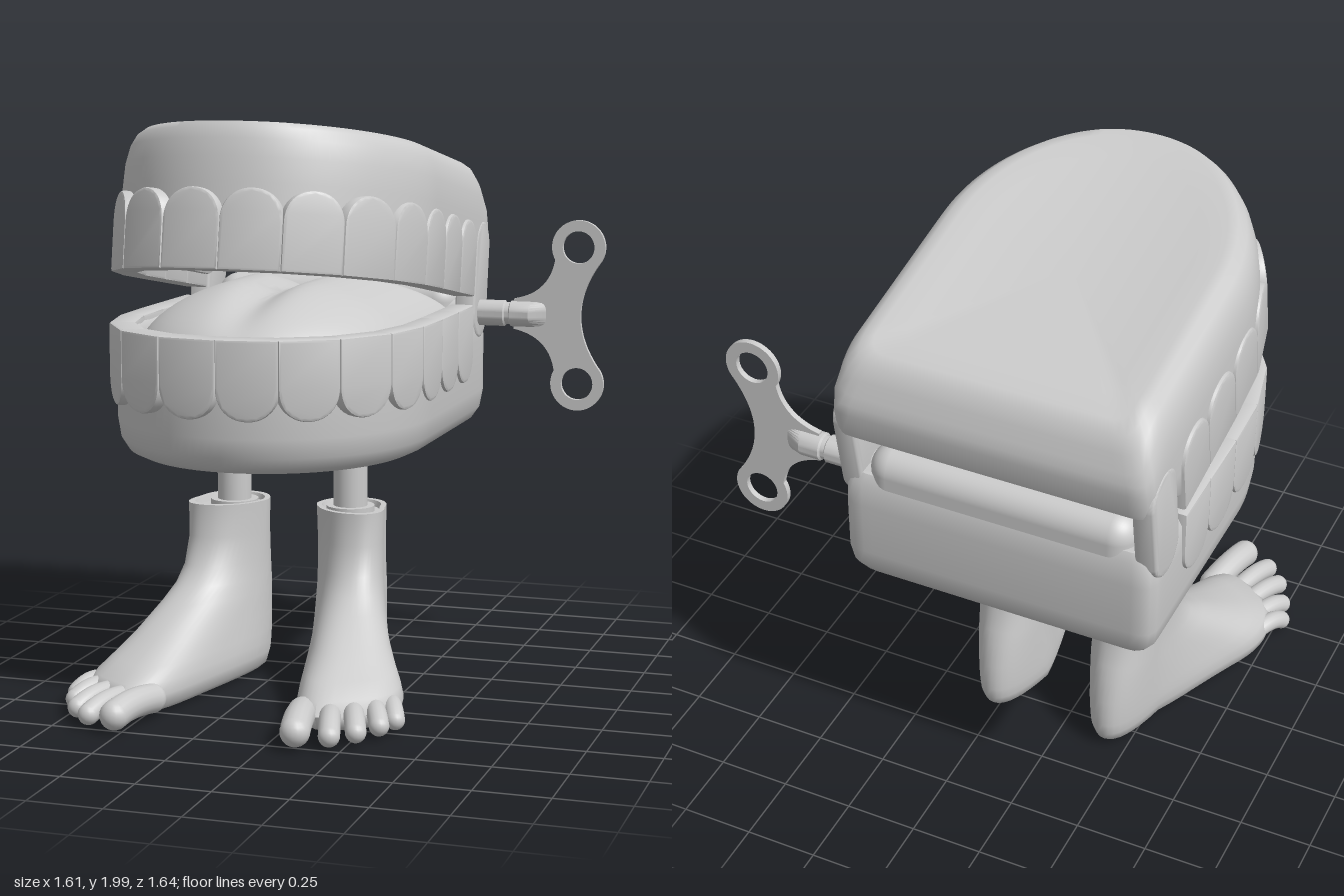
import * as THREE from 'three';
import { toCreasedNormals } from 'three/addons/utils/BufferGeometryUtils.js';
import { RoundedBoxGeometry } from 'three/addons/geometries/RoundedBoxGeometry.js';

const mat = new THREE.MeshStandardMaterial({ color: 0xcccccc });
const CX = -0.207, HINGE_Y = 1.27, HINGE_Z = -0.66;
const { clamp, lerp, smoothstep } = THREE.MathUtils;

function add(parent, name, geo, x = 0, y = 0, z = 0) {
  const m = new THREE.Mesh(geo, mat);
  m.name = name;
  m.position.set(x, y, z);
  parent.add(m);
  return m;
}

// Skin closed rings (each an array of [x, y, z]) from bottom to top
function loft(rings, crease = 0.9) {
  const n = rings[0].length, pos = rings.flat(2), idx = [];
  for (let i = 0; i < rings.length - 1; i++) {
    for (let j = 0; j < n; j++) {
      const k = (j + 1) % n, a = i * n + j, b = i * n + k, c = b + n, d = a + n;
      idx.push(a, b, c, a, c, d);
    }
  }
  const g = new THREE.BufferGeometry();
  g.setAttribute('position', new THREE.Float32BufferAttribute(pos, 3));
  g.setIndex(idx);
  return toCreasedNormals(g, crease);
}

// Horseshoe plan of the jaws: straight sides, square back, round front
function plan(inset) {
  const w = 0.546 - inset, f = 0.608 - inset, b = -0.772 + inset, r = 0.06, k = 0.56;
  const s = new THREE.Shape();
  s.moveTo(0, f);
  s.bezierCurveTo(w * k, f, w, f * k, w, 0);
  s.lineTo(w, b + r);
  s.quadraticCurveTo(w, b, w - r, b);
  s.lineTo(r - w, b);
  s.quadraticCurveTo(-w, b, -w, b + r);
  s.lineTo(-w, 0);
  s.bezierCurveTo(-w, f * k, -w * k, f, 0, f);
  return s.getSpacedPoints(140).slice(0, 140);
}

// Gum rows are [inset, height]; an inset of null closes to a centre point.
// shape(v, z, inset) may bend a point and returns its new [v, z].
function gum(rows, shape = (v, z) => [v, z]) {
  return loft(rows.map(([inset, v]) => plan(inset ?? 0.2).map((p) => {
    if (inset === null) return [0, v, -0.1];
    return [p.x, ...shape(v, p.y, inset)];
  })));
}

// Upper gum: lifted along the bottom of the back, rounded off at the top of the back, upright in front
function upperShape(v, z, inset) {
  const low = clamp((-0.54 - z) / 0.12, 0, 1), high = clamp((-0.58 - z) / 0.17, 0, 1);
  const lifted = v + low * 0.8 * Math.max(0, 0.25 - v);
  const dropped = lifted - 0.1 * high * high * clamp((v - 0.3) / 0.2, 0, 1);
  return [dropped, v > 0.3 ? z + 0.65 * Math.min(inset, 0.08) * clamp(z / 0.5, 0, 1) : z];
}

// Arch of flat teeth; dir = 1 points the rounded root upward, -1 downward
function teeth(parent, name, base, dir) {
  const half = [[0, 0.635], [0.205, 0.605], [0.378, 0.495], [0.495, 0.31], [0.543, 0.1],
    [0.55, -0.11], [0.55, -0.33], [0.55, -0.535]];
  const pts = [...half.slice(1).reverse().map(([x, z]) => [-x, z]), ...half];
  const row = new THREE.Group();
  row.name = name;
  parent.add(row);
  for (let i = 0; i < pts.length - 1; i++) {
    const [ax, az] = pts[i], [bx, bz] = pts[i + 1];
    const w = Math.hypot(bx - ax, bz - az) / 2 - 0.009, s = new THREE.Shape();
    s.moveTo(-w, 0.01 * dir);
    s.lineTo(w, 0.01 * dir);
    s.lineTo(w, 0.16 * dir);
    s.bezierCurveTo(w, 0.22 * dir, w * 0.6, 0.258 * dir, 0, 0.258 * dir);
    s.bezierCurveTo(-w * 0.6, 0.258 * dir, -w, 0.22 * dir, -w, 0.16 * dir);
    const g = new THREE.ExtrudeGeometry(s, { depth: 0.07, bevelSize: 0.01, bevelThickness: 0.01, bevelSegments: 2, curveSegments: 10 });
    g.translate(0, 0, -0.072);
    const t = add(row, 'tooth', toCreasedNormals(g, 0.6), (ax + bx) / 2, base, (az + bz) / 2);
    t.rotation.y = Math.atan2(az - bz, bx - ax);
  }
}

// Domed tongue with a groove down the middle
function tongue() {
  const edge = plan(0.085), rings = [];
  for (let i = 0; i <= 16; i++) {
    const r = Math.cos(i / 16 * Math.PI / 2);
    rings.push(edge.map((p) => {
      const x = p.x * r, z = -0.03 + (p.y + 0.03) * r, h = 1 - r * r;
      return [x, -0.03 + 0.21 * h ** 0.68 - 0.055 * h * Math.exp(-((x / 0.08) ** 2)), z];
    }));
  }
  return loft(rings, 1.2);
}

// Foot: level slices [height, heel z, front z, heel half width, front half width]
function foot(side) {
  const rows = [[0.012, -0.27, 0.46, 0.07, 0.13], [0.02, -0.315, 0.52, 0.095, 0.16], [0.04, -0.352, 0.56, 0.115, 0.18],
    [0.08, -0.37, 0.57, 0.125, 0.188], [0.12, -0.372, 0.53, 0.128, 0.178], [0.16, -0.37, 0.45, 0.128, 0.165],
    [0.22, -0.365, 0.34, 0.127, 0.145], [0.31, -0.345, 0.19, 0.126, 0.128], [0.36, -0.33, 0.115, 0.124, 0.122],
    [0.42, -0.31, 0.06, 0.122, 0.12], [0.52, -0.29, 0.025, 0.122, 0.12], [0.635, -0.28, 0.02, 0.125, 0.125]];
  const ring = ([y, back, front, wh, wf], scale = 1) => Array.from({ length: 48 }, (_, j) => {
    const a = side * j / 48 * Math.PI * 2, c = Math.cos(a), s = Math.sin(a);
    // Squarer across the toes than around the heel and ankle
    const e = c > 0 ? lerp(0.65, 0.9, smoothstep(y, 0.1, 0.4)) : 0.9;
    const sq = (v) => Math.sign(v) * Math.abs(v) ** e * scale;
    const z = (back + front) / 2 + (front - back) / 2 * sq(c);
    const off = lerp(wh, wf, (c * scale + 1) / 2) * sq(s);
    const shear = 0.7 * smoothstep(z, 0, 0.5);
    // The forefoot splays outward, the heel stays under the ankle
    return [side * (0.01 + 0.31 * Math.max(0, z + 0.14) + off), y, z - shear * off];
  });
  const last = rows.at(-1);
  return loft([ring(rows[0], 0), ...rows.map((r) => ring(r)), ring(last, 0.85),
    ring([0.615, ...last.slice(1)], 0.8), ring([0.615, ...last.slice(1)], 0)], 1.1);
}

// Toes: base x, z, tip x, z, radius (big toe first)
const TOES = [[0.06, 0.55, 0.105, 0.765, 0.05], [0.15, 0.53, 0.21, 0.735, 0.036], [0.21, 0.48, 0.278, 0.665, 0.035],
  [0.262, 0.42, 0.328, 0.57, 0.034], [0.305, 0.365, 0.358, 0.485, 0.033]];

function leg(parent, side) {
  const g = new THREE.Group();
  g.name = side > 0 ? 'leftLeg' : 'rightLeg';
  g.position.x = CX + side * 0.207;
  parent.add(g);
  add(g, 'foot', foot(side));
  add(g, 'legRod', new THREE.CylinderGeometry(0.06, 0.06, 0.3, 32), side * 0.01, 0.75, -0.14);
  add(g, 'rodCollar', new THREE.CylinderGeometry(0.085, 0.085, 0.03, 32), side * 0.01, 0.62, -0.14);
  for (const [bx, bz, tx, tz, r] of TOES) {
    // Toe bends: rises slightly over the knuckle, then drops to the pad
    const a = new THREE.Vector3(side * bx, 0.075, bz), b = new THREE.Vector3(side * tx, r + 0.022, tz);
    const path = new THREE.QuadraticBezierCurve3(a, a.clone().lerp(b, 0.6).setY(0.095), b);
    add(g, 'toe', new THREE.TubeGeometry(path, 10, r, 16));
    for (const p of [a, b]) add(g, 'toeEnd', new THREE.SphereGeometry(r, 18, 12), p.x, p.y, p.z);
  }
}

function key(parent) {
  const g = new THREE.Group();
  g.name = 'windUpKey';
  g.position.set(0, HINGE_Y, HINGE_Z);
  parent.add(g);
  // Grooved shaft whose end is pinched to a wedge
  const prof = [[0, 0.2], [0.047, 0.2], [0.047, 0.435], [0.04, 0.44], [0.04, 0.455], [0.047, 0.46], [0.047, 0.53], [0.047, 0.59], [0, 0.59]];
  const lathe = new THREE.LatheGeometry(prof.map((p) => new THREE.Vector2(...p)), 32), pos = lathe.attributes.position;
  for (let i = 0; i < pos.count; i++) pos.setZ(i, pos.getZ(i) * (1 - 0.78 * clamp((pos.getY(i) - 0.53) / 0.06, 0, 1)));
  const shaft = add(g, 'keyShaft', toCreasedNormals(lathe, 0.5));
  shaft.rotation.z = -Math.PI / 2;
  // Flat bow with two ring ends
  const s = new THREE.Shape();
  s.moveTo(0.47, -0.055);
  s.lineTo(0.47, 0.055);
  s.quadraticCurveTo(0.6, 0.08, 0.62, 0.2);
  s.absarc(0.705, 0.247, 0.097, Math.PI * 1.16, -0.68, true);
  s.quadraticCurveTo(0.65, 0, 0.78, -0.186);
  s.absarc(0.705, -0.247, 0.097, 0.68, -Math.PI * 1.16, true);
  s.quadraticCurveTo(0.6, -0.08, 0.47, -0.055);
  for (const y of [0.247, -0.247]) s.holes.push(new THREE.Path().absarc(0.705, y, 0.058, 0, Math.PI * 2));
  add(g, 'keyBow', toCreasedNormals(new THREE.ExtrudeGeometry(s, { depth: 0.02, bevelEnabled: false, curveSegments: 24 }), 0.5), 0, 0, -0.01);
}

export function createModel() {
  const root = new THREE.Group();
  root.name = 'windUpTeeth';

  // Lower jaw
  const lower = new THREE.Group();
  lower.name = 'lowerJaw';
  lower.position.set(CX, HINGE_Y, 0);
  root.add(lower);
  add(lower, 'lowerGum', gum([[null, -0.42], [0.13, -0.42], [0.075, -0.414], [0.035, -0.395], [0.01, -0.355], [0, -0.29], [0, -0.1],
    [0.003, -0.01], [0.02, 0.022], [0.075, 0.025], [0.095, 0.005], [0.105, -0.07], [null, -0.07]]));
  add(lower, 'lowerBackWall', new RoundedBoxGeometry(0.93, 0.36, 0.17, 6, 0.08), 0, -0.065, -0.684);
  add(lower, 'tongue', tongue());
  teeth(lower, 'lowerTeeth', 0.04, -1);

  // Upper jaw, swung open about the hinge
  const pivot = new THREE.Group();
  pivot.name = 'upperJaw';
  pivot.position.set(CX, HINGE_Y, HINGE_Z);
  pivot.rotation.x = -0.165;
  root.add(pivot);
  const upper = new THREE.Group();
  upper.name = 'upperJawParts';
  upper.position.z = -HINGE_Z;
  pivot.add(upper);
  add(upper, 'upperGum', gum([[null, 0.23], [0.14, 0.21], [0.11, 0.17], [0.09, 0.1], [0.03, 0.085], [0.003, 0.12], [0, 0.22],
    [0, 0.34], [0.006, 0.42], [0.022, 0.48], [0.045, 0.517], [0.075, 0.536], [0.11, 0.538], [0.19, 0.525], [null, 0.515]], upperShape));
  teeth(upper, 'upperTeeth', 0.05, 1);

  // Hinge tabs hanging from the upper jaw, and the axle through them
  const tab = new THREE.Shape();
  tab.absarc(0, 0, 0.08, Math.PI, Math.PI * 2);
  tab.absarc(0, 0.24, 0.08, 0, Math.PI);
  const tabGeo = new THREE.ExtrudeGeometry(tab, { depth: 0.045, bevelSize: 0.015, bevelThickness: 0.015, bevelSegments: 4, curveSegments: 20 });
  tabGeo.translate(0, 0, -0.0225).rotateY(Math.PI / 2);
  for (const s of [-1, 1]) add(pivot, 'hingeTab', toCreasedNormals(tabGeo, 0.7), s * 0.512, 0, -0.005);
  const axle = add(pivot, 'hingeAxle', new THREE.CylinderGeometry(0.047, 0.047, 1.05, 24));
  axle.rotation.z = Math.PI / 2;

  key(root);
  for (const s of [-1, 1]) leg(root, s);
  return root;
}
